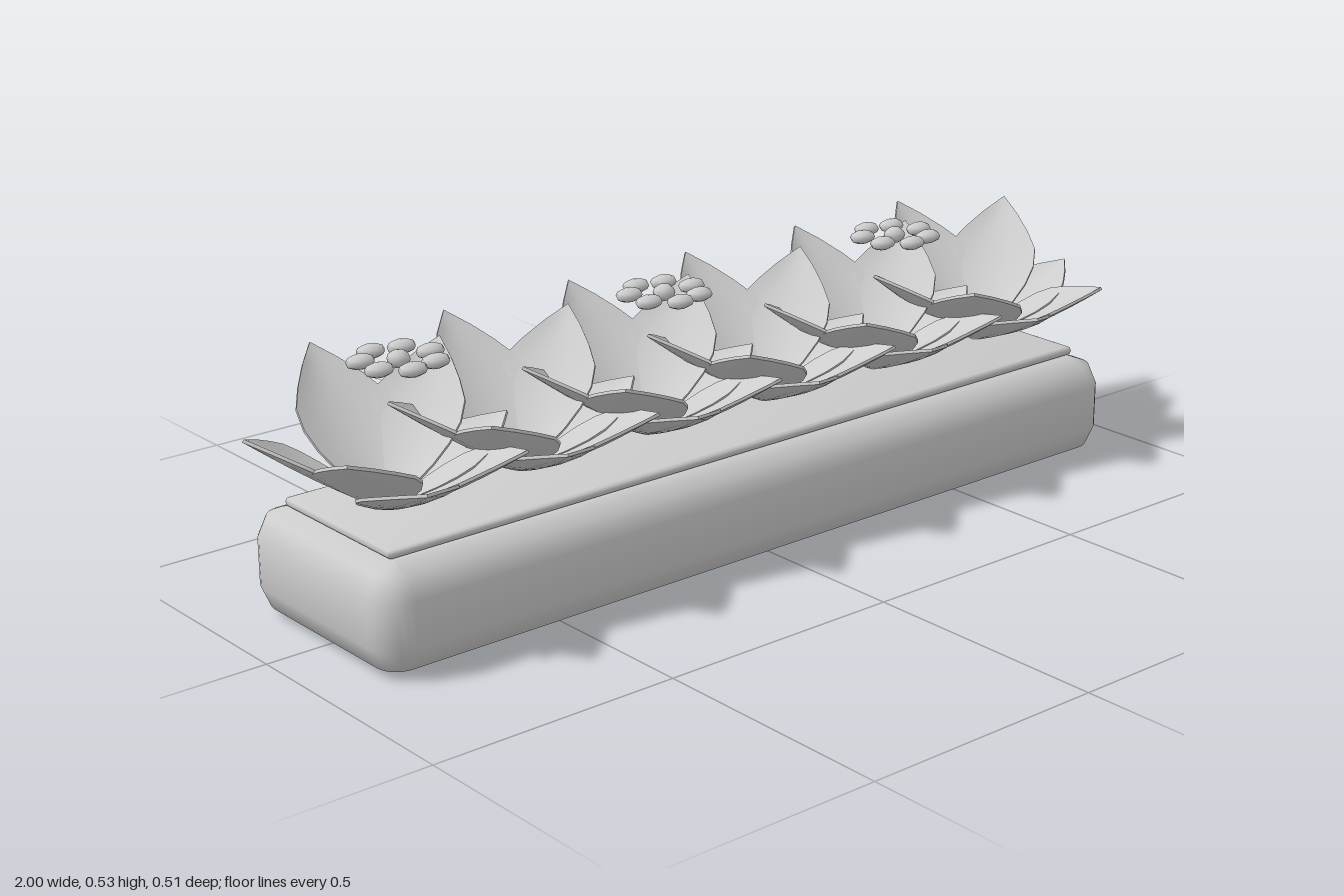
import * as THREE from 'three';
import { toCreasedNormals } from 'three/addons/utils/BufferGeometryUtils.js';

const stone = new THREE.MeshStandardMaterial({ color: 0xcccccc, side: THREE.DoubleSide });
stone.name = 'pale grey';

function addMesh(parent, name, geometry) {
  const mesh = new THREE.Mesh(geometry, stone);
  mesh.name = name;
  parent.add(mesh);
  return mesh;
}

// Box lying on y = 0 with all edges rounded by radius r in two steps
function softSlab(w, h, d, r) {
  const x = w / 2, z = d / 2, c = r * 1.05;
  const s = new THREE.Shape();
  s.moveTo(-x + c, -z);
  s.lineTo(x - c, -z);
  s.absarc(x - c, -z + c, c, -Math.PI / 2, 0);
  s.lineTo(x, z - c);
  s.absarc(x - c, z - c, c, 0, Math.PI / 2);
  s.lineTo(-x + c, z);
  s.absarc(-x + c, z - c, c, Math.PI / 2, Math.PI);
  s.lineTo(-x, -z + c);
  s.absarc(-x + c, -z + c, c, Math.PI, Math.PI * 1.5);
  const g = new THREE.ExtrudeGeometry(s, {
    depth: h - 2 * r, curveSegments: 3, bevelThickness: r,
    bevelSize: r, bevelOffset: -r, bevelSegments: 2,
  });
  g.translate(0, 0, r);
  g.rotateX(-Math.PI / 2);
  return toCreasedNormals(g, 1);
}

// Slightly cupped, pointed leaf with a thin rim, rising from the origin along +x
const LEAF_WIDTH = [0.006, 0.036, 0.064, 0.084, 0.094, 0.09, 0.066, 0.036, 0];
const ACROSS = [1, 0.67, 0.33, 0, -0.33, -0.67, -1];
// Cross-section loop: upper face, then lower face, then back to the start
const LOOP = [
  ...ACROSS.map((s) => [s, 1]),
  ...ACROSS.map((s) => [-s, -1]),
  [1, 1],
];
function leafGeometry(reach, rise, widthScale) {
  const rows = LEAF_WIDTH.length - 1, cols = LOOP.length - 1;
  const g = new THREE.PlaneGeometry(1, 1, cols, rows);
  const p = g.attributes.position;
  const slope = Math.atan2(rise, reach);
  for (let i = 0; i <= rows; i++) {
    const t = i / rows, w = LEAF_WIDTH[i] * widthScale;
    const sag = 0.006 * Math.sin(Math.PI * t);
    LOOP.forEach(([s, side], j) => {
      const lift = 0.22 * w * s * s - sag + side * 0.003;
      p.setXYZ(i * (cols + 1) + j,
        reach * t - Math.sin(slope) * lift,
        rise * t + Math.cos(slope) * lift,
        s * w);
    });
  }
  return toCreasedNormals(g, 0.8);
}

// Leaf tips relative to the plant base: x, height, z, width scale
const LEAVES = [
  [0.017, 0.238, -0.26, 1],
  [0.22, 0.238, -0.14, 1],
  [0.265, 0.12, 0.0, 0.95],
  [0.17, 0.12, 0.19, 1],
  [-0.085, 0.12, 0.25, 0.95],
  [-0.195, 0.178, 0.18, 1],
  [-0.26, 0.178, -0.04, 0.95],
];

function createPlant() {
  const plant = new THREE.Group();
  plant.name = 'plant';
  for (const [x, y, z, w] of LEAVES) {
    const leaf = addMesh(plant, 'leaf', leafGeometry(Math.hypot(x, z), y, w));
    leaf.rotation.y = Math.atan2(-z, x);
  }
  return plant;
}

// Flat ring of seven oval petals round a middle bead
function createFlower() {
  const flower = new THREE.Group();
  flower.name = 'flower';
  const oval = new THREE.SphereGeometry(1, 8, 6);
  addMesh(flower, 'flowerCentre', oval).scale.set(0.022, 0.016, 0.02);
  for (let i = 0; i < 7; i++) {
    const a = (i / 7) * Math.PI * 2;
    const petal = addMesh(flower, 'petal', oval);
    petal.position.set(Math.cos(a) * 0.066, 0, Math.sin(a) * 0.066);
    petal.scale.set(0.029, 0.013, 0.02);
  }
  return flower;
}

export function createModel() {
  const model = new THREE.Group();
  model.name = 'planter';

  // Trough and soil
  addMesh(model, 'trough', softSlab(1.8, 0.207, 0.45, 0.058)).position.z = 0.005;
  addMesh(model, 'soil', softSlab(1.7, 0.018, 0.334, 0.008)).position.set(0, 0.207, 0.005);

  // Row of plants, with a flower above every second one
  for (let i = 0; i < 6; i++) {
    const x = -0.74 + i * 0.295;
    const plant = createPlant();
    plant.position.set(x, 0.225, 0.005);
    model.add(plant);
    if (i % 2 === 0) {
      const flower = createFlower();
      flower.position.set(x, 0.517, 0.057);
      model.add(flower);
    }
  }
  return model;
}
